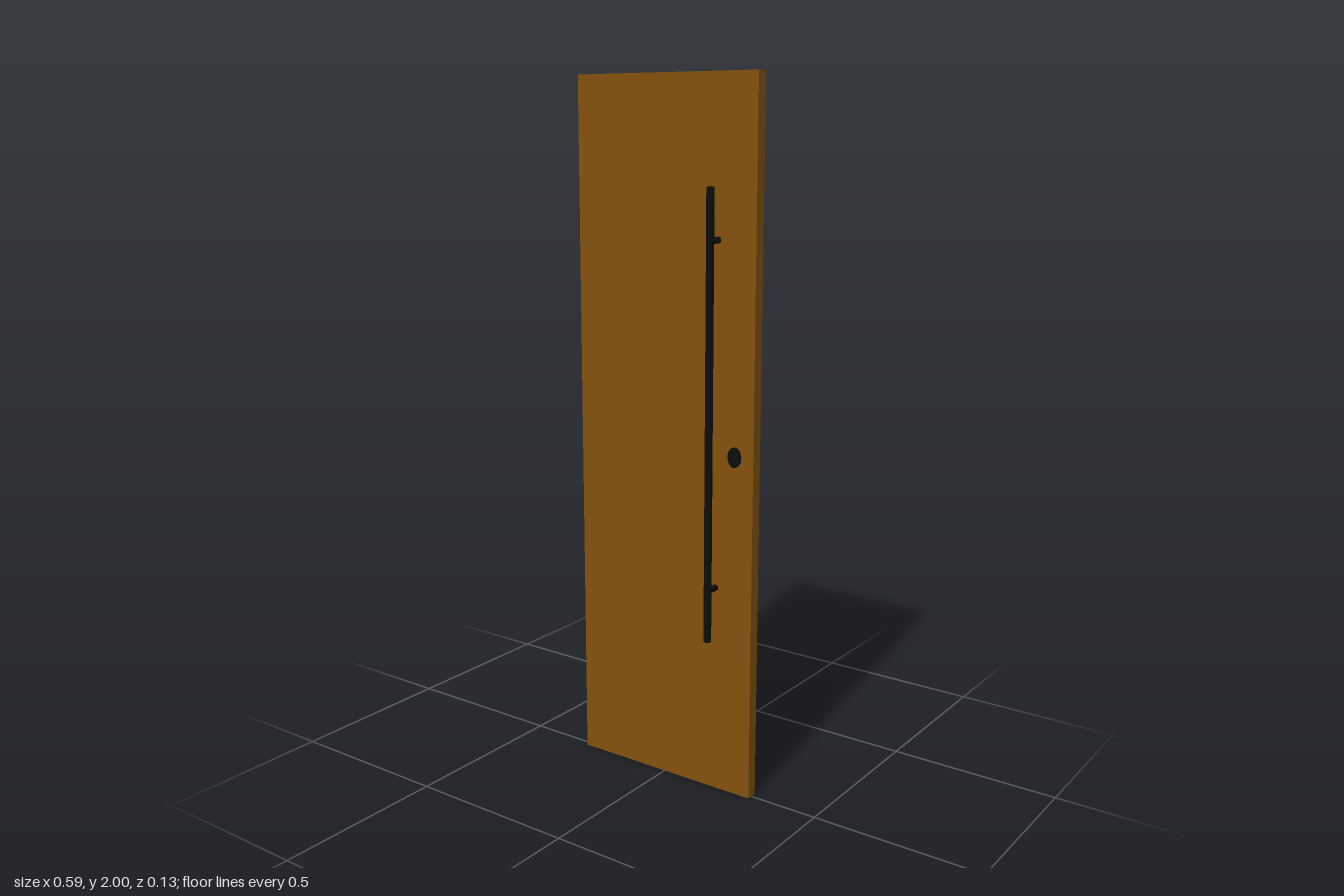
import * as THREE from 'three';

export function createModel() {
  const group = new THREE.Group();
  const wood = new THREE.MeshStandardMaterial({ color: 0x83520e });
  wood.name = 'brown wood';
  const black = new THREE.MeshStandardMaterial({ color: 0x0d0d0d });
  black.name = 'black metal';

  const add = (name, geometry, material, x, y, z) => {
    const mesh = new THREE.Mesh(geometry, material);
    mesh.name = name;
    mesh.position.set(x, y, z);
    group.add(mesh);
    return mesh;
  };

  // Door slab
  add('doorPanel', new THREE.BoxGeometry(0.588, 2, 0.034), wood, 0, 1, -0.001);

  // Long pull bar on each face
  const handleX = 0.176;
  for (const [side, s] of [['front', 1], ['back', -1]]) {
    add(side + 'PullBar', new THREE.CylinderGeometry(0.011, 0.011, 1.25, 16), black, handleX, 1.085, s * 0.055);
  }

  // Standoffs running through the door from bar to bar
  for (const [end, y] of [['lower', 0.608], ['upper', 1.57]]) {
    const rod = new THREE.CylinderGeometry(0.009, 0.009, 0.11, 16).rotateX(Math.PI / 2);
    add(end + 'Standoff', rod, black, handleX, y, 0);
  }

  // Oval lock cylinder showing on both faces
  const lock = new THREE.CylinderGeometry(1, 1, 0.046, 24).rotateX(Math.PI / 2).scale(0.02, 0.028, 1);
  add('lockCylinder', lock, black, 0.236, 0.99, 0);

  return group;
}
